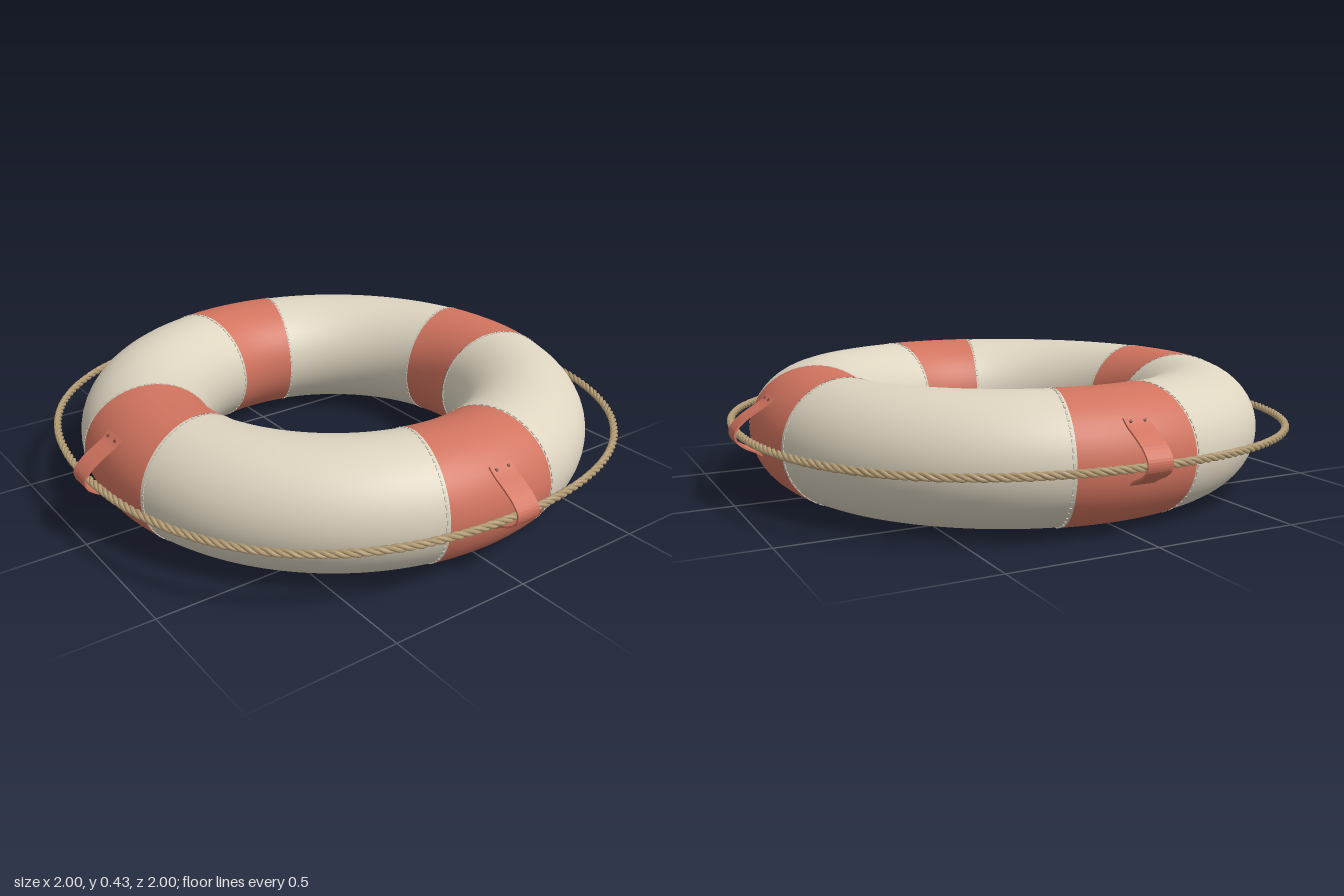
import * as THREE from 'three';
import { mergeGeometries } from 'three/addons/utils/BufferGeometryUtils.js';

const RING = 0.685, TUBE = 0.228, SQUASH = 0.935, MID = 0.217;
const DEG = Math.PI / 180, BAND = 13.4 * DEG;

const material = (name, color, side = THREE.FrontSide) => {
  const m = new THREE.MeshStandardMaterial({ color, side });
  m.name = name;
  return m;
};

// Slice of the squashed ring, centred on the +x axis
function ringSlice(radius, halfAngle, steps) {
  return new THREE.TorusGeometry(RING, radius, 48, steps, halfAngle * 2)
    .rotateX(Math.PI / 2)
    .rotateY(halfAngle)
    .scale(1, SQUASH, 1)
    .translate(0, MID, 0);
}

// Row of thin stitches running round the tube at one ring angle
function stitchRow(angle, count = 56) {
  const parts = [];
  for (let i = 0; i < count; i++) {
    const a = (i / count) * Math.PI * 2;
    const stitch = new THREE.BoxGeometry(0.005, 0.016, 0.006);
    stitch.rotateZ(a).translate(RING + TUBE * Math.cos(a), MID + TUBE * SQUASH * Math.sin(a), 0);
    // slide from the axis plane to the ring angle
    parts.push(stitch.rotateY(angle));
  }
  return mergeGeometries(parts);
}

// Path of the grab rope, bowing out between the straps
function ropePoint(t) {
  const r = 0.968 + 0.044 * Math.sin(2 * t) ** 2;
  return new THREE.Vector3(r * Math.cos(t), 0.236, r * Math.sin(t));
}

// One strand twisting round the rope path
class StrandCurve extends THREE.Curve {
  constructor(phase) {
    super();
    this.phase = phase;
  }
  getPoint(u, target = new THREE.Vector3()) {
    const t = u * Math.PI * 2, a = u * 66 * Math.PI * 2 + this.phase;
    const p = ropePoint(t);
    const tangent = ropePoint(t + 0.001).sub(ropePoint(t - 0.001)).normalize();
    const out = new THREE.Vector3(tangent.z, 0, -tangent.x);
    return target.copy(p).addScaledVector(out, 0.0068 * Math.cos(a))
      .add(new THREE.Vector3(0, 0.0068 * Math.sin(a), 0));
  }
  // uniform parameter is close enough to arc length here
  getPointAt(u, target) { return this.getPoint(u, target); }
  getTangentAt(u, target) { return this.getTangent(u, target); }
}

// Strap ribbon that lies on the ring and loops round the rope
function strapGeometry() {
  const path = new THREE.CatmullRomCurve3([
    [0.862, 0.362], [0.885, 0.342], [0.93, 0.315], [0.972, 0.285], [0.995, 0.254],
    [0.99, 0.225], [0.965, 0.203], [0.93, 0.186], [0.908, 0.172],
  ].map(([x, y]) => new THREE.Vector3(x, y, 0)));
  const outer = [], inner = [];
  for (let i = 0; i <= 32; i++) {
    const p = path.getPoint(i / 32), d = path.getTangent(i / 32);
    outer.push(new THREE.Vector2(p.x - d.y * 0.003, p.y + d.x * 0.003));
    inner.push(new THREE.Vector2(p.x + d.y * 0.003, p.y - d.x * 0.003));
  }
  const shape = new THREE.Shape([...outer, ...inner.reverse()]);
  return new THREE.ExtrudeGeometry(shape, { depth: 0.088, bevelEnabled: false }).translate(0, 0, -0.044);
}

export function createModel() {
  const model = new THREE.Group();
  model.name = 'lifeRing';
  const cream = material('cream canvas', 0xddd4c0);
  const coral = material('coral red', 0xd2745f, THREE.DoubleSide);
  const thread = material('pale thread', 0xcfcabb);
  const hemp = material('hemp rope', 0xb59d75);
  const metal = material('dark rivet', 0x7a4a40);

  const add = (parent, name, geometry, mat) => {
    const mesh = new THREE.Mesh(geometry, mat);
    mesh.name = name;
    parent.add(mesh);
    return mesh;
  };

  const creamSlice = ringSlice(TUBE, Math.PI / 4 - BAND + 0.004, 32);
  const bandSlice = ringSlice(TUBE + 0.002, BAND, 16);
  const stitches = mergeGeometries([stitchRow(BAND + 0.011), stitchRow(-BAND - 0.011)]);
  const strap = strapGeometry();
  const rivet = new THREE.CylinderGeometry(0.005, 0.005, 0.008, 10);

  // Four quarters, each with a band, a strap and a cream section
  for (let i = 0; i < 4; i++) {
    const quarter = new THREE.Group();
    quarter.name = 'quarter' + (i + 1);
    quarter.rotation.y = i * Math.PI / 2;
    model.add(quarter);
    add(quarter, 'creamSection', creamSlice, cream).rotation.y = Math.PI / 4;
    add(quarter, 'redBand', bandSlice, coral);
    add(quarter, 'bandStitches', stitches, thread);
    add(quarter, 'ropeStrap', strap, coral);
    for (const z of [-0.025, 0.025]) {
      const r = add(quarter, 'strapRivet', rivet, metal);
      r.position.set(0.876, 0.353, z);
      r.rotation.z = -45 * DEG;
    }
  }

  // Three-strand grab rope
  const rope = new THREE.Group();
  rope.name = 'grabRope';
  for (let i = 0; i < 3; i++) {
    const curve = new StrandCurve(i * Math.PI * 2 / 3);
    add(rope, 'ropeStrand', new THREE.TubeGeometry(curve, 792, 0.0072, 6, true), hemp);
  }
  model.add(rope);
  return model;
}
